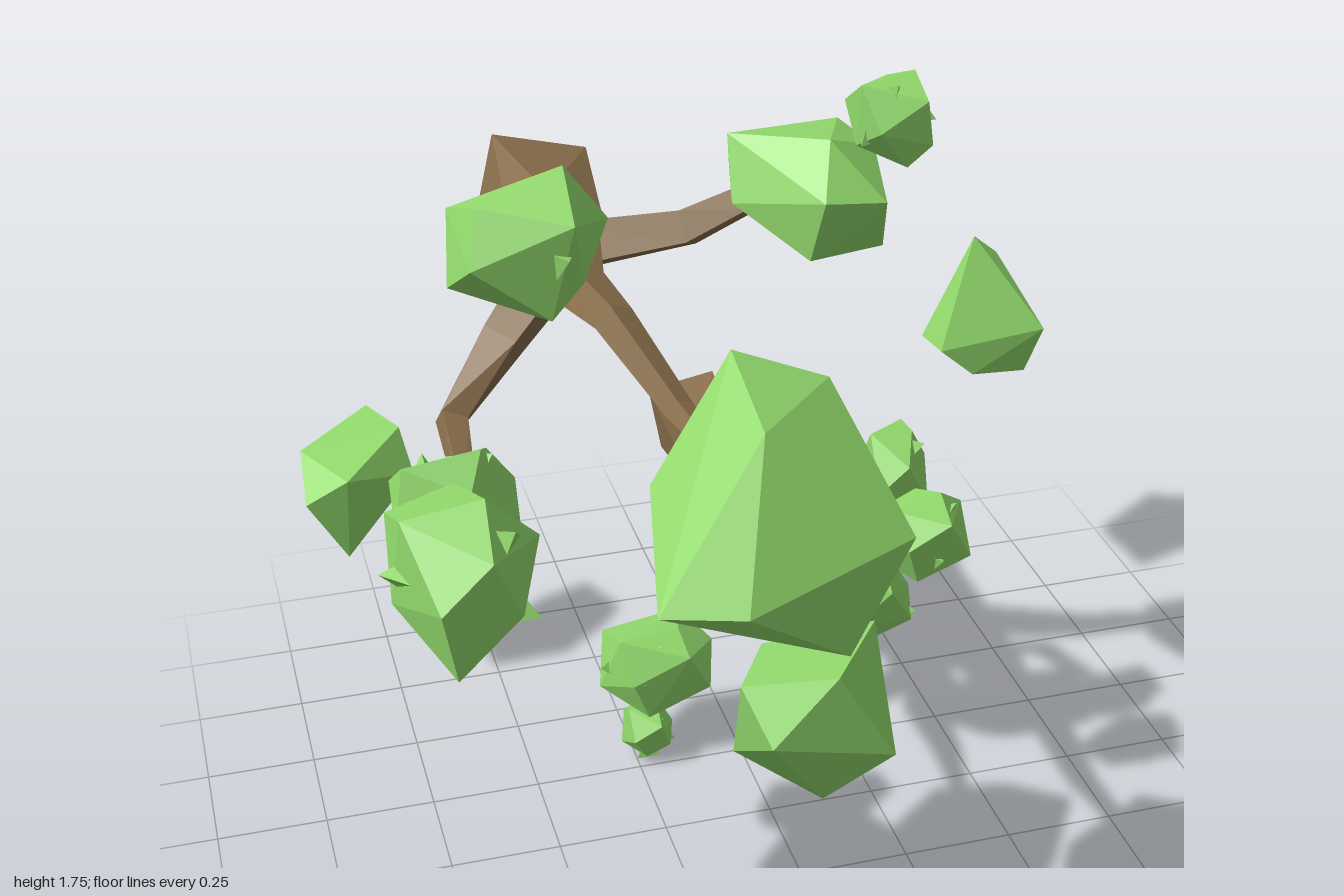
import * as THREE from 'three';
import { ConvexGeometry } from 'three/addons/geometries/ConvexGeometry.js';

const bark = new THREE.MeshStandardMaterial({ color: 0x8a6f4c, flatShading: true });
const leaf = new THREE.MeshStandardMaterial({ color: 0x92da6c, flatShading: true });
const V = (p) => new THREE.Vector3(...p);

// small seeded generator
let seed = 7;
function rnd() {
  seed = (seed * 16807) % 2147483647;
  return seed / 2147483647;
}

// four-sided tapering limb; each path entry is [x, y, z, radius, twist in degrees]
function limb(name, path) {
  const pts = path.map((p) => V(p.slice(0, 3)));
  const rings = pts.map((p, i) => {
    const t = pts[Math.min(i + 1, pts.length - 1)].clone().sub(pts[Math.max(i - 1, 0)]).normalize();
    if (p.z === -1) t.set(0, 0, 1); // trunk end is cut flat
    const side = new THREE.Vector3(0, 1, 0).cross(t).normalize();
    const up = t.clone().cross(side);
    const [, , , r, twist = 20] = path[i];
    return [0, 1, 2, 3].map((k) => {
      const a = THREE.MathUtils.degToRad(twist) + (k * Math.PI) / 2;
      return p.clone().addScaledVector(side, r * Math.cos(a)).addScaledVector(up, r * Math.sin(a));
    });
  });
  const tris = [];
  const quad = (a, b, c, d) => tris.push(a, b, c, a, c, d);
  for (let i = 0; i < rings.length - 1; i++) {
    for (let k = 0; k < 4; k++) {
      const n = (k + 1) % 4;
      quad(rings[i][k], rings[i][n], rings[i + 1][n], rings[i + 1][k]);
    }
  }
  const first = rings[0], last = rings[rings.length - 1];
  quad(first[3], first[2], first[1], first[0]);
  quad(...last);
  const geo = new THREE.BufferGeometry().setFromPoints(tris);
  geo.computeVertexNormals();
  const mesh = new THREE.Mesh(geo, bark);
  mesh.name = name;
  return mesh;
}

// irregular points spread over a slightly squared sphere, stretched to fill a box
function scatter(min, max, count = 13) {
  const square = (v) => Math.sign(v) * Math.abs(v) ** 0.85;
  const pts = [];
  for (let i = 0; i < count; i++) {
    const y = 1 - (2 * (i + 0.5)) / count, r = Math.sqrt(1 - y * y), a = i * 2.4 + rnd() * 0.7;
    const p = new THREE.Vector3(square(r * Math.cos(a)), square(y), square(r * Math.sin(a)));
    pts.push(p.multiplyScalar(0.85 + 0.3 * rnd()));
  }
  const b = new THREE.Box3().setFromPoints(pts), s = b.getSize(new THREE.Vector3());
  const size = max.clone().sub(min);
  return pts.map((p) => p.sub(b.min).divide(s).multiply(size).add(min));
}

// faceted leaf clump with a few broad pointed leaves poking out
function clump(name, points, spikes) {
  const group = new THREE.Group();
  group.name = name;
  const body = new THREE.Mesh(new ConvexGeometry(points), leaf);
  body.name = 'leafMass';
  group.add(body);
  const box = new THREE.Box3().setFromPoints(points);
  const c = box.getCenter(new THREE.Vector3());
  const half = box.getSize(new THREE.Vector3()).multiplyScalar(0.5);
  const s = (half.x + half.y + half.z) / 3;
  for (let i = 0; i < spikes; i++) {
    const y = 1 - (2 * (i + 0.5)) / spikes, a = i * 2.4 + rnd() * 2, r = Math.sqrt(1 - y * y);
    const dir = new THREE.Vector3(r * Math.cos(a), y, r * Math.sin(a));
    const spike = new THREE.Mesh(new THREE.ConeGeometry(s * 0.5, s * 0.7, 3), leaf);
    spike.name = 'leafPoint';
    spike.position.copy(dir).multiply(half).multiplyScalar(0.8).add(c);
    dir.add(new THREE.Vector3(rnd() - 0.5, rnd() - 0.5, rnd() - 0.5).multiplyScalar(1.2)).normalize();
    spike.quaternion.setFromUnitVectors(new THREE.Vector3(0, 1, 0), dir);
    group.add(spike);
  }
  return group;
}

export function createModel() {
  seed = 7;
  const model = new THREE.Group();
  model.name = 'leafyBranches';

  // upper bough and its forks
  model.add(
    limb('upperBough', [
      [-0.31, 1.225, -1, 0.165, 31], [-0.305, 1.225, -0.68, 0.108, 12], [-0.36, 1.32, -0.35, 0.085],
      [-0.39, 1.375, -0.07, 0.06], [-0.36, 1.385, 0.13, 0.042], [-0.28, 1.27, 0.33, 0.03], [-0.25, 1.255, 0.5, 0.018],
    ]),
    limb('upperRightFork', [
      [-0.36, 1.35, -0.32, 0.075], [-0.53, 1.21, -0.2, 0.055], [-0.66, 1.08, -0.12, 0.04], [-0.67, 0.99, 0.12, 0.02],
    ]),
    limb('upperLeftFork', [
      [-0.34, 1.31, -0.42, 0.07], [-0.1, 1.38, -0.29, 0.05], [0.03, 1.45, -0.25, 0.038], [0.13, 1.5, -0.17, 0.025],
    ]),
  );

  // lower bough and its forks
  model.add(
    limb('lowerBough', [
      [0.07, 0.565, -1, 0.122, 55], [0.085, 0.53, -0.74, 0.085, 45], [0.14, 0.495, -0.5, 0.06],
      [0.17, 0.465, -0.33, 0.052], [0.11, 0.475, -0.2, 0.042], [0.06, 0.53, -0.02, 0.03], [0.04, 0.52, 0.15, 0.016],
    ]),
    limb('lowerUpFork', [
      [0.17, 0.5, -0.46, 0.05], [0.21, 0.57, -0.42, 0.045], [0.27, 0.75, -0.33, 0.032], [0.28, 0.83, -0.14, 0.016],
    ]),
    limb('lowerRightFork', [
      [0.13, 0.5, -0.55, 0.05], [-0.03, 0.42, -0.46, 0.042], [-0.1, 0.34, -0.41, 0.032], [-0.15, 0.27, -0.37, 0.02],
    ]),
    limb('lowerLeftTwig', [[0.16, 0.47, -0.37, 0.045], [0.24, 0.44, -0.28, 0.03], [0.29, 0.41, -0.21, 0.018]]),
  );

  // rounded clumps given by their lower and upper corners
  const boxes = [
    ['upperRightClump', [-0.67, 1.37, -0.12], [-0.34, 1.68, 0.17], 1],
    ['farRightFrontClump', [-0.87, 0.88, 0.24], [-0.58, 1.2, 0.59], 3],
    ['farRightBackClump', [-0.84, 0.91, 0.09], [-0.58, 1.18, 0.28], 6],
    ['topClump', [0.2, 1.57, -0.16], [0.37, 1.76, -0.01], 5],
    ['middleBackClump', [0.24, 0.73, -0.16], [0.39, 0.94, 0.02], 5],
    ['middleFrontClump', [0.2, 0.69, 0.01], [0.42, 0.87, 0.22], 4],
    ['lowerRightClump', [-0.32, 0.15, -0.46], [-0.04, 0.35, -0.23], 3],
    ['bottomClump', [-0.28, 0.015, -0.36], [-0.16, 0.16, -0.23], 4],
    ['lowerLeftClump', [0.17, 0.3, -0.3], [0.41, 0.51, -0.12], 4],
  ];
  for (const [name, min, max, spikes] of boxes) model.add(clump(name, scatter(V(min), V(max)), spikes));

  // larger angular clumps given by their corner points
  const shaped = {
    largeFrontClump: [
      [-0.25, 1.52, 0.6], [-0.25, 1.36, 0.44], [-0.07, 1.45, 0.62], [0.02, 1.23, 0.86], [-0.05, 0.99, 0.6],
      [-0.31, 1.02, 0.68], [-0.48, 1.2, 0.95], [-0.12, 1.04, 0.92], [-0.33, 1.2, 1], [-0.42, 1.3, 0.66],
      [-0.2, 1.02, 0.5], [-0.25, 1.46, 0.82],
    ],
    upperLeftClump: [
      [-0.02, 1.6, -0.25], [0.16, 1.62, -0.1], [0.29, 1.56, -0.2], [0.32, 1.41, -0.25], [0.28, 1.37, -0.1],
      [0.1, 1.38, -0.04], [-0.03, 1.47, -0.18], [0, 1.5, -0.31], [0.24, 1.59, -0.3], [0.2, 1.4, -0.3],
      [0.12, 1.52, 0], [0.26, 1.5, -0.02],
    ],
    lowerFrontClump: [
      [-0.18, 0.65, 0.4], [0, 0.7, 0.5], [0.15, 0.68, 0.28], [0.17, 0.5, 0.15], [0.13, 0.34, 0.22], [0, 0.33, 0.4],
      [-0.17, 0.42, 0.3], [-0.14, 0.55, 0.5], [0.13, 0.48, 0.49], [0, 0.5, 0.12], [-0.08, 0.62, 0.21],
    ],
    looseLeftClump: [
      [0.8, 1.01, -0.88], [0.87, 0.95, -0.9], [0.94, 0.8, -0.73], [0.9, 0.68, -0.75], [0.72, 0.74, -0.65],
      [0.63, 0.82, -0.64], [0.66, 0.76, -0.86], [0.82, 0.82, -0.99], [0.85, 0.7, -0.95],
    ],
    looseRightClump: [
      [-0.94, 0.6, -0.7], [-0.93, 0.67, -0.85], [-0.88, 0.45, -0.87], [-0.75, 0.7, -0.99], [-0.67, 0.6, -0.79],
      [-0.69, 0.7, -0.85], [-0.73, 0.47, -0.9], [-0.85, 0.44, -0.71], [-0.84, 0.66, -0.68], [-0.75, 0.55, -0.98],
    ],
  };
  for (const [name, pts] of Object.entries(shaped)) model.add(clump(name, pts.map(V), 0));

  return model;
}
